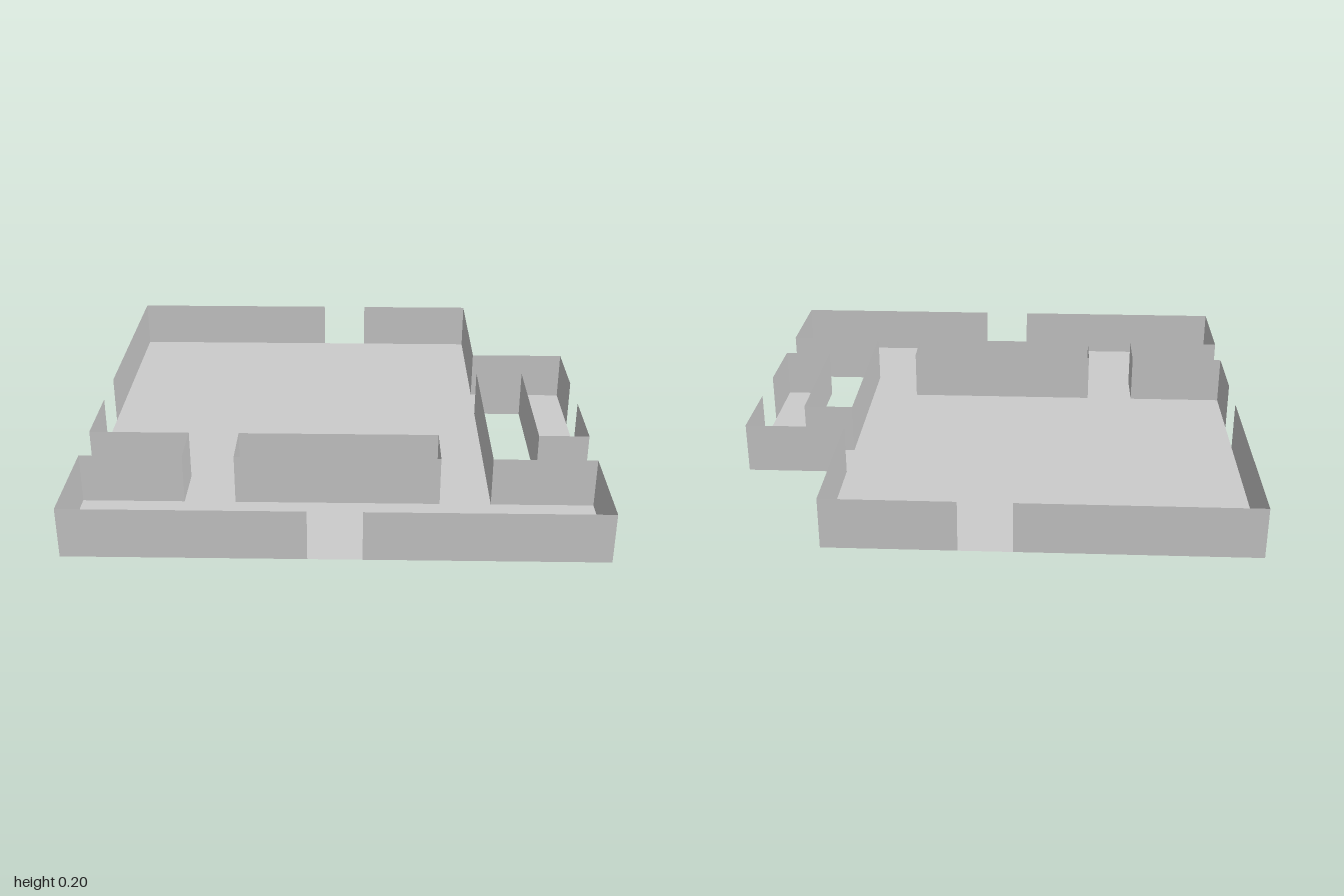
import * as THREE from 'three';

const WALL_HEIGHT = 0.2;
const DOOR_HALF = 0.1;

// Plan corners as [x, z]
const OUTLINE = [
  [-1, -1], [0.6, -1], [0.6, -0.4], [1, -0.4], [1, 0.4], [0.8, 0.4], [0.8, -0.2], [0.6, -0.2],
  [0.6, 0.6], [1, 0.6], [1, 1], [-1, 1], [-1, 0.6], [-0.6, 0.6], [-0.6, 0.4], [-1, 0.4],
];
const COURTYARD = [[-0.4, 0.4], [0.4, 0.4], [0.4, 0.6], [-0.4, 0.6]];

export function createModel() {
  const model = new THREE.Group();
  model.name = 'floorPlan';
  const plaster = new THREE.MeshStandardMaterial({ color: 0xcccccc, side: THREE.DoubleSide });
  plaster.name = 'light grey';

  // Floor sheet with the courtyard cut out
  const toPoints = (corners) => corners.map(([x, z]) => new THREE.Vector2(x, -z));
  const shape = new THREE.Shape(toPoints(OUTLINE));
  shape.holes.push(new THREE.Path(toPoints(COURTYARD)));
  const floor = new THREE.Mesh(new THREE.ShapeGeometry(shape).rotateX(-Math.PI / 2), plaster);
  floor.name = 'floor';
  model.add(floor);

  // One thin upright wall sheet between two plan corners
  const addWall = (parent, name, [x0, z0], [x1, z1]) => {
    const dx = x1 - x0, dz = z1 - z0;
    const wall = new THREE.Mesh(new THREE.PlaneGeometry(Math.hypot(dx, dz), WALL_HEIGHT), plaster);
    wall.position.set((x0 + x1) / 2, WALL_HEIGHT / 2, (z0 + z1) / 2);
    wall.rotation.y = -Math.atan2(dz, dx);
    wall.name = name;
    parent.add(wall);
  };

  // Outer walls; a side lying on the bounds and crossing the centre line has a doorway there
  const outer = new THREE.Group();
  outer.name = 'outerWalls';
  OUTLINE.forEach((a, i) => {
    const b = OUTLINE[(i + 1) % OUTLINE.length];
    const along = a[0] === b[0] ? 1 : 0;
    const onBounds = Math.abs(a[1 - along]) === 1;
    if (onBounds && a[along] * b[along] < 0) {
      const jamb = (end) => {
        const p = [...end];
        p[along] = Math.sign(end[along]) * DOOR_HALF;
        return p;
      };
      addWall(outer, 'wallBesideDoor', a, jamb(a));
      addWall(outer, 'wallBesideDoor', jamb(b), b);
    } else {
      addWall(outer, 'outerWall', a, b);
    }
  });
  model.add(outer);

  // Walls round the courtyard
  const inner = new THREE.Group();
  inner.name = 'courtyardWalls';
  COURTYARD.forEach((a, i) => addWall(inner, 'courtyardWall', a, COURTYARD[(i + 1) % 4]));
  model.add(inner);

  return model;
}
